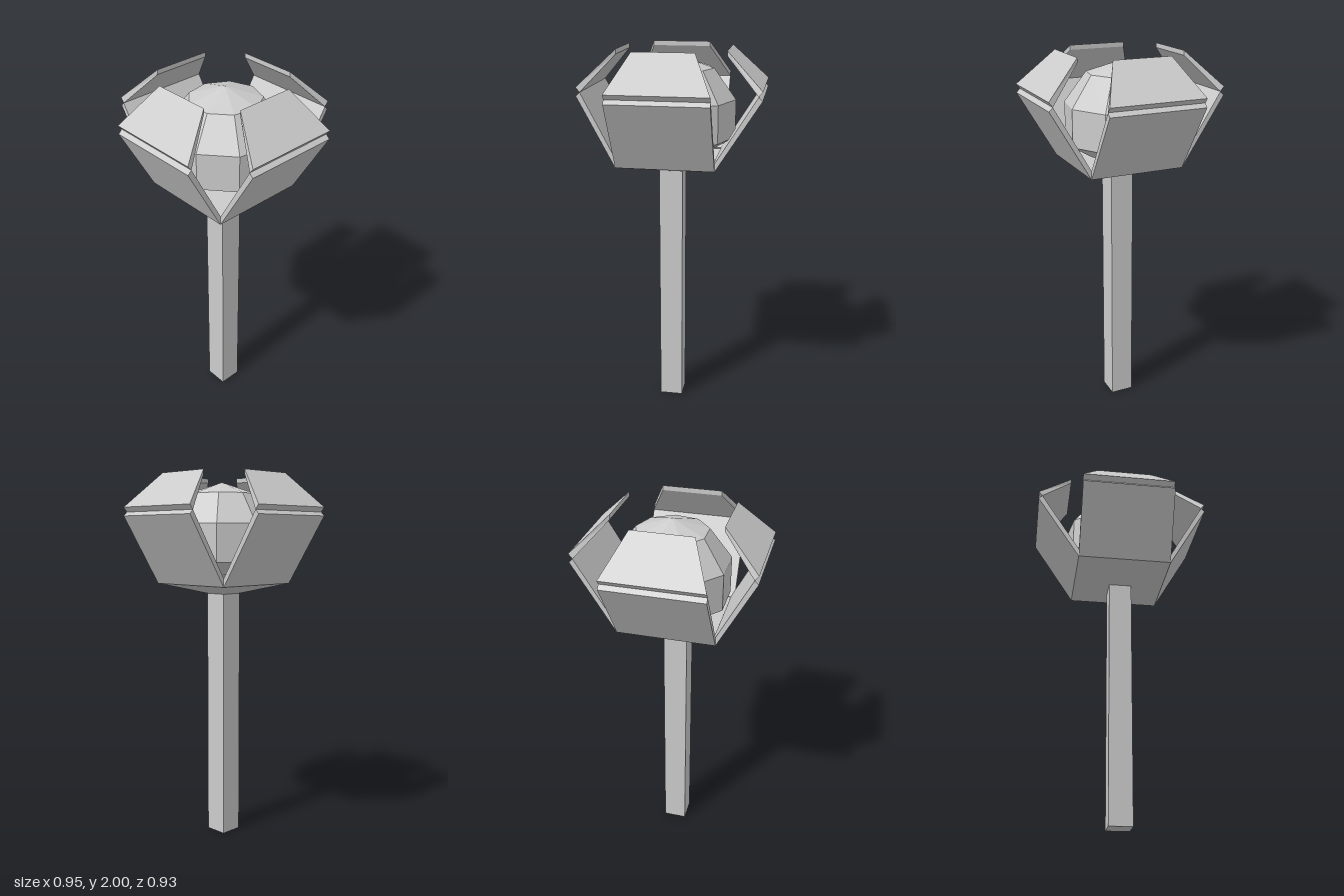
import * as THREE from 'three';

const material = new THREE.MeshStandardMaterial({ color: 0xcccccc, flatShading: true });

function addMesh(parent, name, geometry) {
  const mesh = new THREE.Mesh(geometry, material);
  mesh.name = name;
  parent.add(mesh);
  return mesh;
}

// Box with four profile corners [z, y] (z points outward) and its own width at bottom and top
function taperedSlab(corners, halfBottom, halfTop) {
  const { bottomOuter, bottomInner, topOuter, topInner } = corners;
  const geometry = new THREE.BoxGeometry(2, 2, 2);
  const p = geometry.attributes.position;
  for (let i = 0; i < p.count; i++) {
    const top = p.getY(i) > 0;
    const outer = p.getZ(i) > 0;
    const [z, y] = top ? (outer ? topOuter : topInner) : (outer ? bottomOuter : bottomInner);
    p.setXYZ(i, p.getX(i) * (top ? halfTop : halfBottom), y, z);
  }
  geometry.computeVertexNormals();
  return geometry;
}

export function createModel() {
  const model = new THREE.Group();
  model.name = 'sceptre';

  // Shaft, cup and petals share one axis
  const body = new THREE.Group();
  body.name = 'body';
  body.position.set(0.01, 0, 0.018);
  model.add(body);

  const shaftHalf = 0.0625, cupHalf = 0.255, cupBase = 1.36, cupRim = 1.415;
  addMesh(body, 'shaft', new THREE.BoxGeometry(shaftHalf * 2, cupBase, shaftHalf * 2))
    .position.y = cupBase / 2;

  // Square cup flaring out from the shaft
  addMesh(body, 'cup', taperedSlab({
    bottomOuter: [shaftHalf, cupBase], bottomInner: [-shaftHalf, cupBase],
    topOuter: [cupHalf, cupRim], topInner: [-cupHalf, cupRim],
  }, shaftHalf, cupHalf));

  // Four bent petals; each leans out by a slightly different reach
  const petals = [
    ['frontPetal', 0, 0.447],
    ['leftPetal', Math.PI / 2, 0.465],
    ['backPetal', Math.PI, 0.483],
    ['rightPetal', -Math.PI / 2, 0.488],
  ];
  for (const [name, angle, reach] of petals) {
    const petal = new THREE.Group();
    petal.name = name;
    petal.rotation.y = angle;
    body.add(petal);
    const tip = reach - 0.186;
    addMesh(petal, 'lowerPanel', taperedSlab({
      bottomOuter: [cupHalf, cupRim], bottomInner: [cupHalf - 0.02, cupRim + 0.012],
      topOuter: [reach, 1.775], topInner: [reach - 0.02, 1.795],
    }, cupHalf, cupHalf));
    addMesh(petal, 'upperPanel', taperedSlab({
      bottomOuter: [reach, 1.82], bottomInner: [reach - 0.02, 1.795],
      topOuter: [tip, 2.0], topInner: [tip, 1.975],
    }, cupHalf, 0.156));
  }

  // Nine-sided orb with a flattened underside
  const profile = [[0, 1.44], [0.187, 1.47], [0.303, 1.539], [0.303, 1.735], [0.187, 1.894], [0, 1.955]]
    .map(([r, y]) => new THREE.Vector2(r, y));
  addMesh(model, 'orb', new THREE.LatheGeometry(profile, 9, Math.PI)).position.set(-0.005, 0, -0.01);

  return model;
}
